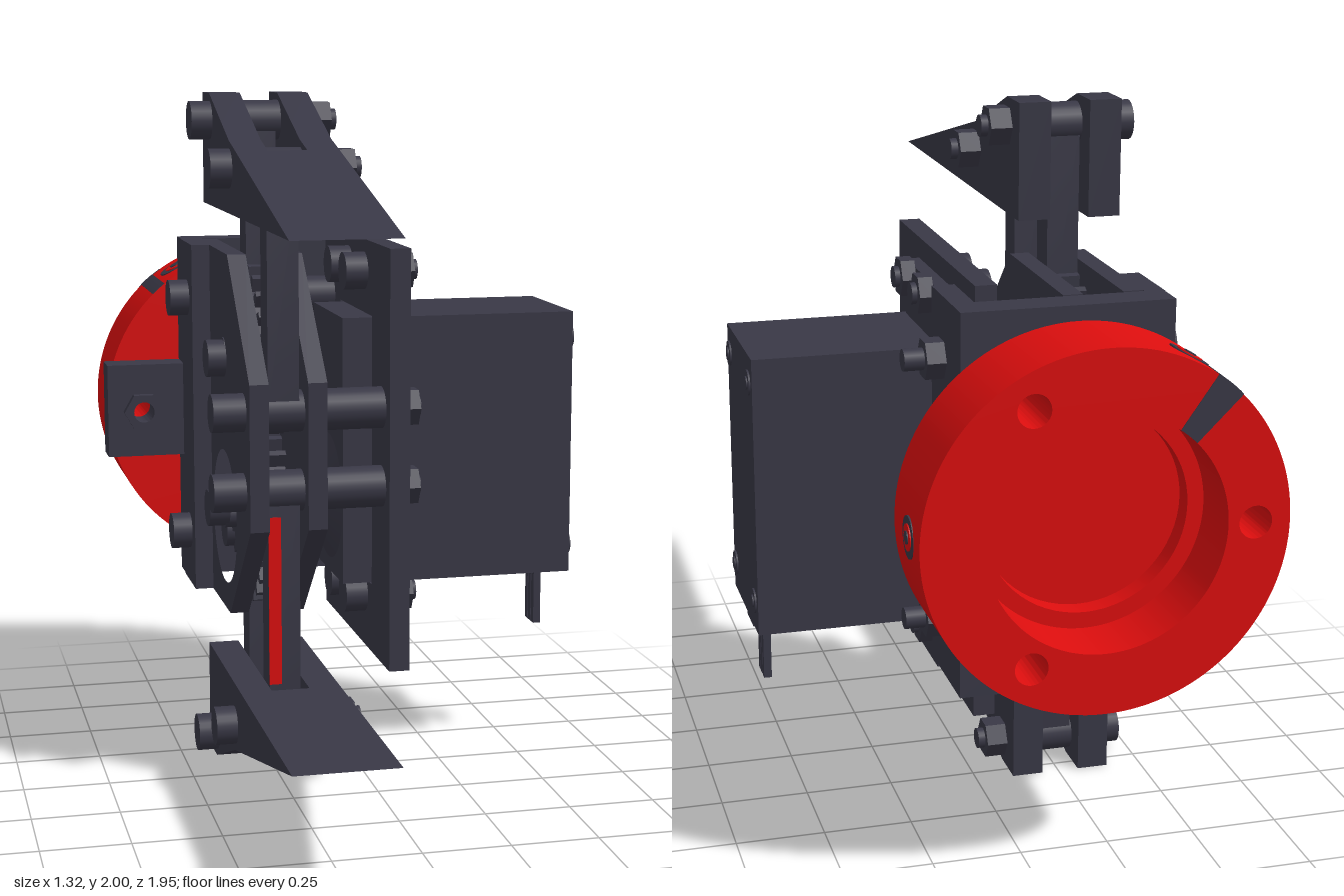
import * as THREE from 'three';
import { toCreasedNormals } from 'three/addons/utils/BufferGeometryUtils.js';

const dark = new THREE.MeshStandardMaterial({ color: 0x393846 });
dark.name = 'charcoal';
const red = new THREE.MeshStandardMaterial({ color: 0xdd0e0e });
red.name = 'red';

export function createModel() {
  const model = new THREE.Group();

  function add(name, geo, mat = dark, parent = model) {
    const mesh = new THREE.Mesh(geo, mat);
    mesh.name = name;
    parent.add(mesh);
    return mesh;
  }
  // Box given by its min and max on each axis
  const box = (name, x0, x1, y0, y1, z0, z1, mat) =>
    add(name, new THREE.BoxGeometry(x1 - x0, y1 - y0, z1 - z0)
      .translate((x0 + x1) / 2, (y0 + y1) / 2, (z0 + z1) / 2), mat);
  // Cylinder along x
  const rod = (name, x0, x1, y, z, r, sides = 24, mat = dark, r1 = r) =>
    add(name, new THREE.CylinderGeometry(r1, r, x1 - x0, sides).rotateZ(-Math.PI / 2)
      .translate((x0 + x1) / 2, y, z), mat);
  // Outline of [z, y] points, extruded along x
  const outline = pts => new THREE.Shape(pts.map(([z, y]) => new THREE.Vector2(-z, y)));
  const circle = (u, v, r) => new THREE.Path().absarc(u, v, r, 0, Math.PI * 2, true);
  const extrude = (shape, depth) => toCreasedNormals(
    new THREE.ExtrudeGeometry(shape, { depth, bevelEnabled: false, curveSegments: 32 }), 0.6);
  const plate = (name, shape, x0, x1, mat) =>
    add(name, extrude(shape, x1 - x0).rotateY(Math.PI / 2).translate(x0, 0, 0), mat);
  // Hex nut facing +x, with the bolt end sticking out
  function nut(x0, x1, y, z, tip = 0.025) {
    rod('nut', x0, x1, y, z, 0.06, 6).geometry = toCreasedNormals(
      new THREE.CylinderGeometry(0.058, 0.058, x1 - x0, 6).rotateZ(-Math.PI / 2)
        .translate((x0 + x1) / 2, y, z), 0.3);
    rod('boltEnd', x1, x1 + tip, y, z, 0.03, 20);
  }

  // Side plates of the gripper, the outer one open around the drive gear
  const sidePts = [[-0.6, 0.47], [-0.1, 0.47], [0.24, 0.79], [0.24, 1.21], [-0.1, 1.54], [-0.6, 1.54]];
  const outer = outline(sidePts);
  outer.holes.push(circle(0.18, 0.75, 0.2));
  plate('outerSidePlate', outer, -0.367, -0.312);
  const inner = outline(sidePts);
  inner.holes.push(circle(0.18, 0.75, 0.08));
  plate('innerSidePlate', inner, -0.2, -0.145);

  // Servo mounting plate with its window
  const mount = outline([[-0.6, 0.36], [0.24, 0.36], [0.24, 1.58], [-0.6, 1.58]]);
  mount.holes.push(outline([[-0.385, 0.565], [-0.385, 1.365], [0.025, 1.365], [0.025, 0.565]]));
  plate('servoPlate', mount, 0.035, 0.095);

  // Gears, links and fingers: the upper set and its mirror
  const TEETH = 24;
  for (const s of [1, -1]) {
    const Y = h => 1.0025 + s * h;
    const gearPts = [];
    for (let i = 0; i < TEETH; i++) {
      for (const [f, r] of [[-0.3, 0.225], [-0.13, 0.265], [0.13, 0.265], [0.3, 0.225]]) {
        const a = ((i + f + (s > 0 ? 0 : 0.5)) / TEETH) * Math.PI * 2;
        gearPts.push([-0.18 + r * Math.sin(a), Y(0.247) + r * Math.cos(a)]);
      }
    }
    add('gear', new THREE.ExtrudeGeometry(outline(gearPts), { depth: 0.09, bevelEnabled: false })
      .rotateY(Math.PI / 2).translate(-0.303, 0, 0));
    rod('gearAxleHead', -0.42, -0.36, Y(0.225), -0.18, 0.055);
    rod('gearAxle', -0.37, -0.13, Y(0.247), -0.18, 0.04);

    // Links with rounded ends
    for (const [z, h0, h1] of [[0.14, 0.12, 0.8], [-0.18, 0.25, 0.92]]) {
      const [lo, hi] = [Y(h0), Y(h1)].sort((a, b) => a - b);
      const link = new THREE.Shape();
      link.absarc(-z, hi, 0.048, 0, Math.PI, false);
      link.absarc(-z, lo, 0.048, Math.PI, Math.PI * 2, false);
      plate('link', link, -0.305, -0.215);

      // Finger pivot bolt
      rod('pivotHead', -0.46, -0.4, Y(h1), z, 0.055);
      rod('pivotSpacer', -0.31, -0.2, Y(h1), z, 0.057);
      nut(-0.11, -0.05, Y(h1), z, 0.02);
    }

    // Finger: two cheeks joined by a solid tip
    const cheek = [[0.24, 0.675], [0.24, 0.853], [0.14, 0.877], [-0.18, 0.9975], [-0.3, 0.9975], [-0.3, 0.675]]
      .map(([z, h]) => [z, Y(h)]);
    plate('fingerCheek', outline(cheek), -0.4, -0.31);
    plate('fingerCheek', outline(cheek), -0.2, -0.11);
    plate('fingerTip', outline([[0.97, Y(0.675)], [0.24, Y(0.853)], [0.24, Y(0.675)]]), -0.4, -0.11);

    // Front pivot bolts and spacers
    const yf = Y(0.115);
    rod('frontBoltHead', -0.46, -0.367, yf, 0.14, 0.055);
    rod('frontSpacer', -0.312, -0.2, yf, 0.14, 0.06);
    rod('frontSpacer', -0.145, 0.035, yf, 0.14, 0.06);
    nut(0.095, 0.138, yf, 0.14, 0.008);

    // Long rear bolts through the bracket
    const yr = Y(0.367);
    rod('rearBoltHead', -0.48, -0.42, yr, -0.515, 0.055);
    rod('rearSpacer', -0.312, -0.2, yr, -0.515, 0.057);
    rod('rearSpacer', -0.145, 0.1, yr, -0.515, 0.057);
    nut(0.16, 0.215, yr, -0.515, 0.055);

    // Servo ear bolts and lid screws
    for (const z of [-0.075, -0.275]) {
      rod('earBoltHead', -0.03, 0.035, Y(0.485), z, 0.055);
      nut(0.135, 0.175, Y(0.485), z, 0.015);
    }
    for (const z of [-0.02, -0.325]) {
      rod('lidScrew', 0.64, 0.655, Y(0.315) - 0.035, z, 0.035);
      rod('lidScrewHead', 0.65, 0.659, Y(0.315) - 0.035, z, 0.018);
    }
  }
  // Red strip on the lower front link
  box('linkStripe', -0.306, -0.27, 0.33, 0.82, 0.186, 0.191, red);

  // Servo
  box('servoBody', -0.05, 0.65, 0.57, 1.36, -0.38, 0.015);
  box('servoEars', 0.095, 0.135, 0.41, 1.52, -0.36, 0);
  rod('servoBoss', -0.09, -0.05, 0.8, -0.18, 0.19, 40, dark, 0.19).geometry =
    new THREE.CylinderGeometry(0.19, 0.11, 0.04, 40).rotateZ(-Math.PI / 2).translate(-0.07, 0.8, -0.18);
  rod('servoShaft', -0.22, -0.08, 0.75, -0.18, 0.06);
  box('cableBoot', 0.56, 0.64, 0.535, 0.575, -0.23, -0.13);
  for (const z of [-0.15, -0.18, -0.21]) box('cableWire', 0.59, 0.612, 0.37, 0.54, z - 0.012, z + 0.012);

  // Rear bracket: back plate with an eyelet tab, and two side walls
  const back = new THREE.Shape([[-0.66, 0.86], [-0.42, 0.86], [-0.42, 0.47], [0.163, 0.47],
    [0.163, 1.54], [-0.42, 1.54], [-0.42, 1.15], [-0.66, 1.15]].map(p => new THREE.Vector2(...p)));
  back.holes.push(circle(-0.55, 1.003, 0.035));
  add('backPlate', extrude(back, 0.1).translate(0, 0, -0.71));
  box('bracketWall', -0.422, -0.367, 0.47, 1.54, -0.62, -0.41);
  box('bracketWall', 0.1, 0.163, 0.47, 1.54, -0.62, -0.41);
  const hex = new THREE.Shape();
  for (let i = 0; i < 6; i++) {
    const a = i * Math.PI / 3;
    hex[i ? 'lineTo' : 'moveTo'](0.062 * Math.cos(a), 0.062 * Math.sin(a));
  }
  hex.holes.push(circle(0, 0, 0.032));
  add('eyeletNut', extrude(hex, 0.03).translate(-0.55, 1.003, -0.612));

  // Red coupling ring, local axis along z
  const ring = new THREE.Group();
  ring.name = 'couplingRing';
  ring.position.set(-0.155, 1.003, 0);
  model.add(ring);
  const R = 0.495, RI = 0.325;
  const annulus = new THREE.Shape().absarc(0, 0, R, 0, Math.PI * 2, false);
  annulus.holes.push(circle(0, 0, RI));
  for (const a of [60, 180, 300].map(THREE.MathUtils.degToRad))
    annulus.holes.push(circle(0.4 * Math.cos(a), 0.4 * Math.sin(a), 0.045));
  add('ringBody', toCreasedNormals(new THREE.ExtrudeGeometry(annulus,
    { depth: 0.27, bevelEnabled: false, curveSegments: 64 }), 0.6).translate(0, 0, -0.98), red, ring);
  const step = new THREE.Shape().absarc(0, 0, RI + 0.003, 0, Math.PI * 2, false);
  step.holes.push(circle(0, 0, 0.28));
  add('ringStep', extrude(step, 0.06).translate(0, 0, -0.8), red, ring);
  add('ringFloor', new THREE.CylinderGeometry(0.285, 0.285, 0.03, 48).rotateX(Math.PI / 2)
    .translate(0, 0, -0.725), red, ring);

  // Set screws round the rim
  for (const a of [0, 120, 240].map(THREE.MathUtils.degToRad)) {
    for (const [name, r, d, mat] of [['setScrewHole', 0.057, 0.496, dark], ['setScrew', 0.036, 0.499, red],
      ['setScrewSocket', 0.018, 0.502, dark]]) {
      add(name, new THREE.CylinderGeometry(r, r, 0.008, 24).rotateZ(Math.PI / 2)
        .translate(d - 0.004, 0, -0.86).rotateZ(a), mat, ring);
    }
  }

  // Dark patches on the ring
  const patch = (name, a0, a1, r0, r1, z0, depth) => {
    const s = new THREE.Shape();
    s.absarc(0, 0, r1, a0, a1, false);
    s.absarc(0, 0, r0, a1, a0, true);
    add(name, extrude(s, depth).translate(0, 0, z0), dark, ring);
  };
  patch('rimStripe', 2.24, 2.34, R - 0.004, R + 0.002, -0.981, 0.27);
  patch('faceStripe', 2.18, 2.36, RI, R + 0.001, -0.982, 0.006);
  patch('rimPatch', -1.5, -0.78, R - 0.004, R + 0.002, -0.74, 0.03);

  return model;
}
